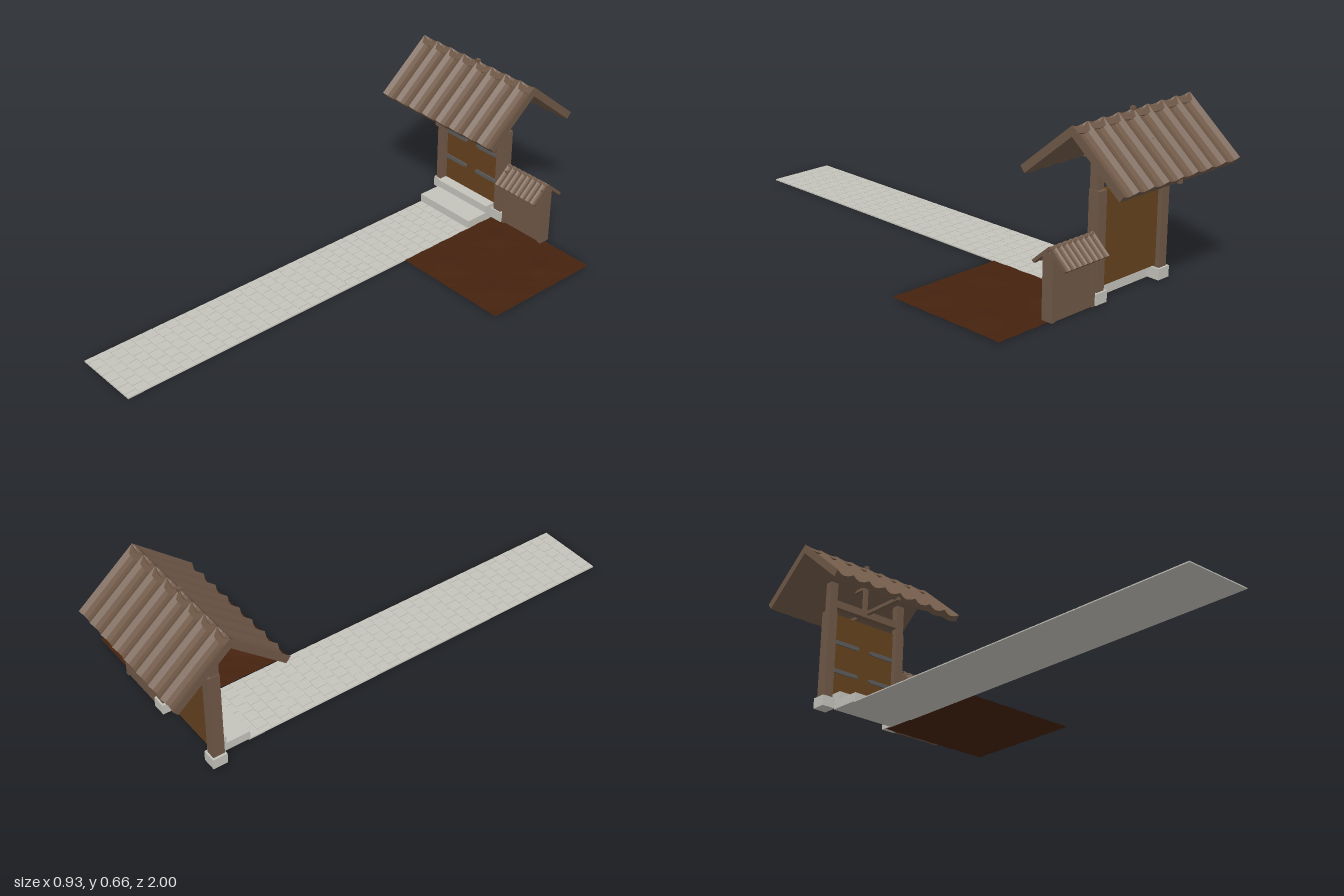
import * as THREE from 'three';
import { mergeGeometries } from 'three/addons/utils/BufferGeometryUtils.js';

const material = (name, color, extra = {}) => {
  const m = new THREE.MeshStandardMaterial({ color, ...extra });
  m.name = name;
  return m;
};

export function createModel() {
  const model = new THREE.Group();
  const wood = material('weathered wood', 0x6f5847);
  const doorWood = material('door wood', 0x65421f);
  const stone = material('pale stone', 0xc4c3bb);
  const iron = material('iron', 0x5c5c5c);
  const soil = material('soil', 0x45220f, { side: THREE.DoubleSide });

  const add = (name, geometry, mat, parent = model) => {
    const mesh = new THREE.Mesh(geometry, mat);
    mesh.name = name;
    parent.add(mesh);
    return mesh;
  };
  // Box given by its limits on each axis
  const box = (name, mat, x0, x1, y0, y1, z0, z1) => {
    const g = new THREE.BoxGeometry(x1 - x0, y1 - y0, z1 - z0);
    g.translate((x0 + x1) / 2, (y0 + y1) / 2, (z0 + z1) / 2);
    return add(name, g, mat);
  };

  // Gabled roof of scalloped sheets: wave cross-section extruded down each slope
  const roof = (name, x0, x1, ridgeY, ridgeZ, run, drop, thick, wave, waves) => {
    const width = x1 - x0, steps = waves * 4;
    const dip = i => wave * Math.sin(Math.PI * (i % 4) / 4);
    const points = [];
    for (let i = 0; i <= steps; i++)
      points.push(new THREE.Vector2(-width / 2 + width * i / steps, -dip(i)));
    for (let i = steps; i >= 0; i--)
      points.push(new THREE.Vector2(-width / 2 + width * i / steps, -thick - dip(i) * 0.4));
    const sheet = new THREE.ExtrudeGeometry(new THREE.Shape(points),
      { depth: Math.hypot(run, drop), bevelEnabled: false });
    sheet.rotateX(Math.atan2(drop, run));
    const group = new THREE.Group();
    group.name = name;
    group.position.set((x0 + x1) / 2, ridgeY, ridgeZ);
    add('frontSlope', sheet, wood, group);
    add('backSlope', sheet, wood, group).rotation.y = Math.PI;
    model.add(group);
  };
  roof('gateRoof', -0.468, 0.135, 0.65, -0.777, 0.222, 0.185, 0.029, 0.015, 8);
  roof('fenceRoof', 0.024, 0.237, 0.268, -0.783, 0.074, 0.066, 0.011, 0.006, 8);

  // Roof truss: tie beam, collar and king post
  box('tieBeam', wood, -0.172, -0.158, 0.438, 0.452, -0.99, -0.564);
  box('collarBeam', wood, -0.172, -0.158, 0.555, 0.567, -0.872, -0.682);
  box('kingPost', wood, -0.173, -0.157, 0.438, 0.656, -0.784, -0.77);

  // Gate posts on stone feet
  for (const side of [-1, 1]) {
    const x = -0.166 + side * 0.165;
    box('gatePost', wood, x - 0.019, x + 0.019, 0.045, 0.405, -0.801, -0.755);
    box('postTop', wood, x - 0.016, x + 0.016, 0.4, 0.525, -0.788, -0.756);
    box('postFoot', stone, x - 0.028, x + 0.028, 0.008, 0.05, -0.808, -0.75);
  }
  box('lintel', wood, -0.33, 0, 0.425, 0.455, -0.786, -0.758);

  // Door with four pointed strap hinges
  box('door', doorWood, -0.306, -0.027, 0.06, 0.4, -0.788, -0.768);
  const strap = new THREE.Shape();
  strap.moveTo(0, -0.008);
  strap.lineTo(0.103, -0.008);
  strap.lineTo(0.114, -0.003);
  strap.lineTo(0.114, 0.003);
  strap.lineTo(0.103, 0.008);
  strap.lineTo(0, 0.008);
  const strapGeometry = new THREE.ExtrudeGeometry(strap, { depth: 0.006, bevelEnabled: false });
  strapGeometry.translate(0, 0, -0.003);
  for (const y of [0.168, 0.285]) {
    add('leftHinge', strapGeometry, iron).position.set(-0.305, y, -0.766);
    const right = add('rightHinge', strapGeometry, iron);
    right.position.set(-0.028, y, -0.766);
    right.rotation.y = Math.PI;
  }

  // Steps
  box('lowerStep', stone, -0.305, -0.028, 0.004, 0.038, -0.752, -0.624);
  box('upperStep', stone, -0.305, -0.028, 0.036, 0.069, -0.765, -0.72);

  // Fence panel beside the gate
  box('fencePanel', wood, 0.035, 0.228, 0.006, 0.235, -0.798, -0.764);
  for (const x of [0.026, 0.222])
    box('fencePost', wood, x, x + 0.015, 0.006, 0.245, -0.803, -0.757);

  // Paved path: staggered slabs on a bed of the same stone
  box('pathBed', stone, -0.305, -0.03, 0, 0.003, -0.63, 1);
  const slabs = [], rows = 34, gap = 0.002;
  const rowDepth = 1.63 / rows, slabWidth = 0.275 / 6;
  for (let r = 0; r < rows; r++) {
    const shift = (r % 2) * slabWidth / 2;
    for (let c = 0; c < 7; c++) {
      const x0 = Math.max(0, c * slabWidth - shift);
      const x1 = Math.min(0.275, (c + 1) * slabWidth - shift);
      if (x1 - x0 < 0.01) continue;
      const g = new THREE.BoxGeometry(x1 - x0 - gap, 0.003, rowDepth - gap);
      g.translate(-0.305 + (x0 + x1) / 2, 0.0035, -0.63 + (r + 0.5) * rowDepth);
      slabs.push(g);
    }
  }
  add('pathSlabs', mergeGeometries(slabs), stone);

  // Soil bed with low mounds
  const bed = new THREE.PlaneGeometry(0.49, 0.505, 28, 28);
  bed.rotateX(-Math.PI / 2);
  bed.translate(0.217, 0.004, -0.5325);
  const p = bed.attributes.position;
  const mounds = [[0.1, -0.65], [0.36, -0.63], [0.11, -0.38], [0.35, -0.39]];
  for (let i = 0; i < p.count; i++) {
    let y = 0.005 + 0.001 * Math.sin(p.getX(i) * 70) * Math.cos(p.getZ(i) * 60);
    for (const [x, z] of mounds) {
      const d = Math.hypot(p.getX(i) - x, p.getZ(i) - z);
      y += 0.011 * Math.exp(-((d / 0.05) ** 2));
    }
    p.setY(i, y);
  }
  bed.computeVertexNormals();
  add('soilBed', bed, soil);

  return model;
}
